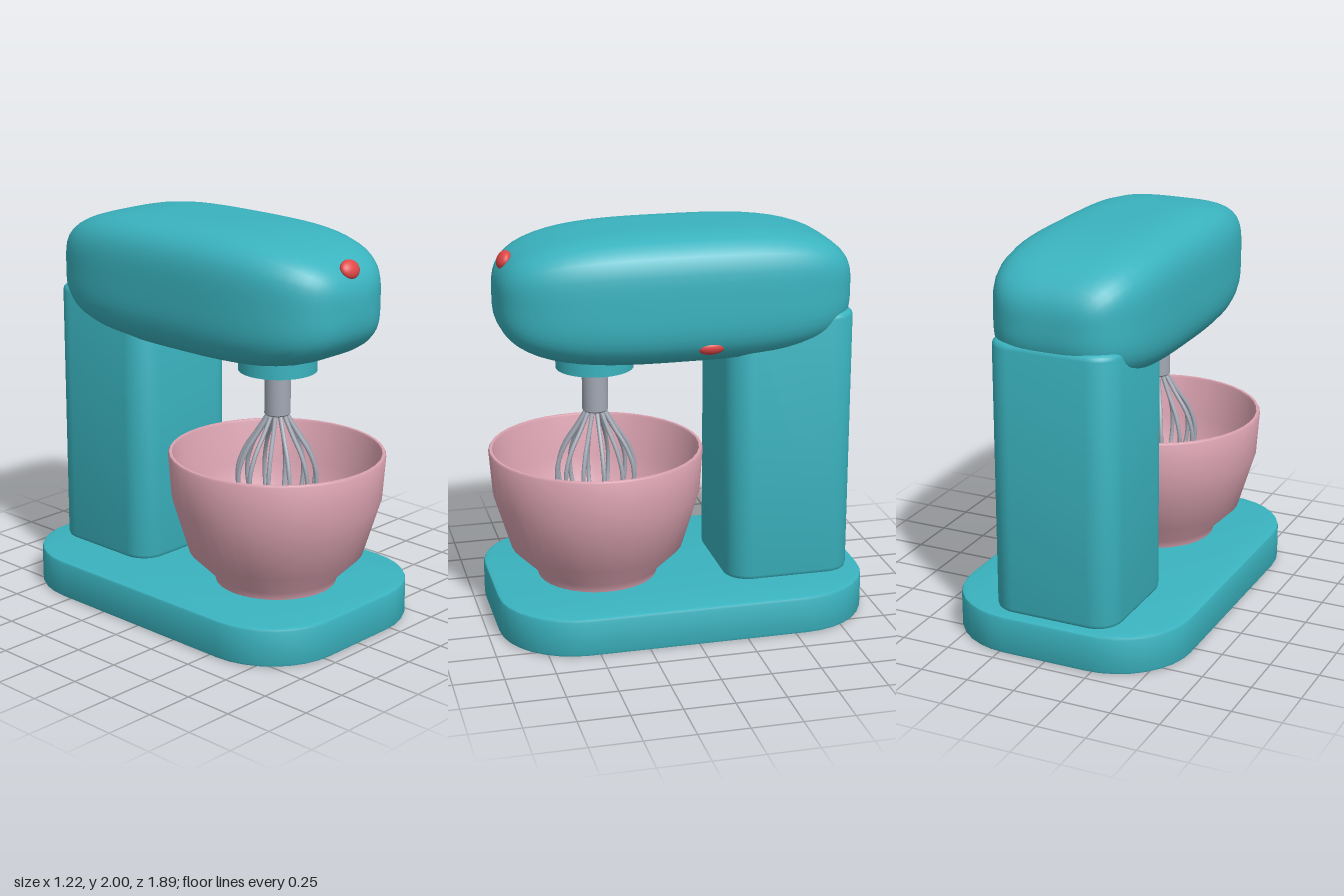
import * as THREE from 'three';
import { mergeVertices, toCreasedNormals } from 'three/addons/utils/BufferGeometryUtils.js';

const WORK_Z = 0.39; // shared axis of bowl, whisk and drive

function material(name, color) {
  const m = new THREE.MeshStandardMaterial({ color });
  m.name = name;
  return m;
}

// Upright slab with rounded corners and softened top and bottom edges
function roundedSlab(halfX, z0, z1, y0, y1, radius, bevel, cornerSegments, bevelSegments) {
  const w = halfX - bevel, h = (z1 - z0) / 2 - bevel, r = radius - bevel;
  const shape = new THREE.Shape();
  shape.moveTo(w, -h + r);
  shape.absarc(w - r, h - r, r, 0, Math.PI / 2);
  shape.absarc(-w + r, h - r, r, Math.PI / 2, Math.PI);
  shape.absarc(-w + r, -h + r, r, Math.PI, Math.PI * 1.5);
  shape.absarc(w - r, -h + r, r, Math.PI * 1.5, Math.PI * 2);
  const geo = new THREE.ExtrudeGeometry(shape, {
    depth: y1 - y0 - 2 * bevel, curveSegments: cornerSegments,
    bevelEnabled: true, bevelSize: bevel, bevelThickness: bevel, bevelSegments,
  });
  geo.rotateX(-Math.PI / 2);
  geo.translate(0, y0 + bevel, (z0 + z1) / 2);
  return toCreasedNormals(geo, 0.7);
}

// Soft box: a sphere pushed out to a squarish section and blunt ends
function headGeometry() {
  const geo = new THREE.SphereGeometry(1, 56, 40);
  geo.rotateX(Math.PI / 2);
  const p = geo.attributes.position;
  const norm = (a, b, n) => Math.pow(Math.pow(Math.abs(a), n) + Math.pow(Math.abs(b), n), 1 / n);
  const fall = (z, n) => Math.pow(Math.max(0, 1 - Math.pow(Math.abs(z), n)), 1 / n);
  for (let i = 0; i < p.count; i++) {
    const x = p.getX(i), y = p.getY(i), c = p.getZ(i);
    const s = Math.hypot(x, y);
    if (s < 1e-5) {
      p.setXYZ(i, 0, 1.67, Math.sign(c) * 0.885);
      continue;
    }
    const z = c / norm(c, s, 3);
    const k = norm(x / s, y / s, y > 0 ? 4 : 3.5);
    const wide = 0.413 * fall(z, z > 0 ? 3.1 : 3.8);
    const tall = 0.33 * fall(z, 3.05);
    p.setXYZ(i, (x / s / k) * wide, 1.67 + (y / s / k) * tall, z * 0.885);
  }
  geo.deleteAttribute('uv');
  geo.deleteAttribute('normal');
  const merged = mergeVertices(geo, 1e-5);
  merged.computeVertexNormals();
  return merged;
}

export function createModel() {
  const model = new THREE.Group();
  model.name = 'standMixer';
  const teal = material('teal enamel', 0x3ab3bf);
  const pink = material('pink bowl', 0xdba3b1);
  const steel = material('grey steel', 0xa2a8b4);
  const red = material('red control', 0xe04848);

  const add = (name, geo, mat, x = 0, y = 0, z = 0, parent = model) => {
    const mesh = new THREE.Mesh(geo, mat);
    mesh.name = name;
    mesh.position.set(x, y, z);
    parent.add(mesh);
    return mesh;
  };

  // Body
  add('base', roundedSlab(0.61, -0.943, 0.943, 0, 0.197, 0.39, 0.015, 4, 2), teal);
  add('column', roundedSlab(0.33, -0.88, -0.225, 0.185, 1.57, 0.13, 0.03, 6, 3), teal);
  add('head', headGeometry(), teal);

  // Drive under the head
  add('driveCollar', new THREE.CylinderGeometry(0.195, 0.195, 0.13, 32), teal, 0, 1.355, WORK_Z);
  const shaftProfile = [[0, 1.06], [0.058, 1.06], [0.065, 1.068], [0.065, 1.32], [0, 1.32]];
  const lathe = (pts, n) => toCreasedNormals(
    new THREE.LatheGeometry(pts.map(([r, y]) => new THREE.Vector2(r, y)), n), 0.6);
  add('driveShaft', lathe(shaftProfile, 24), steel, 0, 0, WORK_Z);

  // Bowl: outside from the foot up, over the rim, then down the inside
  add('bowl', lathe([
    [0, 0.198], [0.305, 0.198], [0.315, 0.235], [0.44, 0.36], [0.525, 0.64], [0.541, 0.862],
    [0.536, 0.872], [0.522, 0.872], [0.518, 0.862], [0.503, 0.645], [0.42, 0.375], [0.3, 0.255], [0, 0.25],
  ], 40), pink, 0, 0, WORK_Z);

  // Whisk: wire loops turned about the shaft
  const whisk = new THREE.Group();
  whisk.name = 'whisk';
  whisk.position.z = WORK_Z;
  model.add(whisk);
  const half = [[0.035, 1.08], [0.095, 0.98], [0.165, 0.87], [0.2, 0.76], [0.185, 0.63], [0.11, 0.51]];
  const points = [
    ...half.map(([r, y]) => new THREE.Vector3(r, y, 0)),
    new THREE.Vector3(0, 0.465, 0),
    ...half.slice().reverse().map(([r, y]) => new THREE.Vector3(-r, y, 0)),
  ];
  const wire = new THREE.TubeGeometry(new THREE.CatmullRomCurve3(points), 44, 0.011, 8);
  const loops = 6;
  for (let i = 0; i < loops; i++) {
    add('whiskWire', wire, steel, 0, 0, 0, whisk).rotation.y = (i * Math.PI) / loops;
  }

  // Controls: flattened buttons seated on the head
  const button = new THREE.SphereGeometry(1, 24, 16);
  const frontButton = add('frontButton', button, red, 0, 1.86, 0.832);
  frontButton.scale.set(0.06, 0.048, 0.032);
  frontButton.rotation.x = -0.5;
  const sideSwitch = add('speedSwitch', button, red, 0.368, 1.452, -0.11);
  sideSwitch.scale.set(0.028, 0.036, 0.068);
  sideSwitch.rotation.z = -0.6;

  return model;
}
